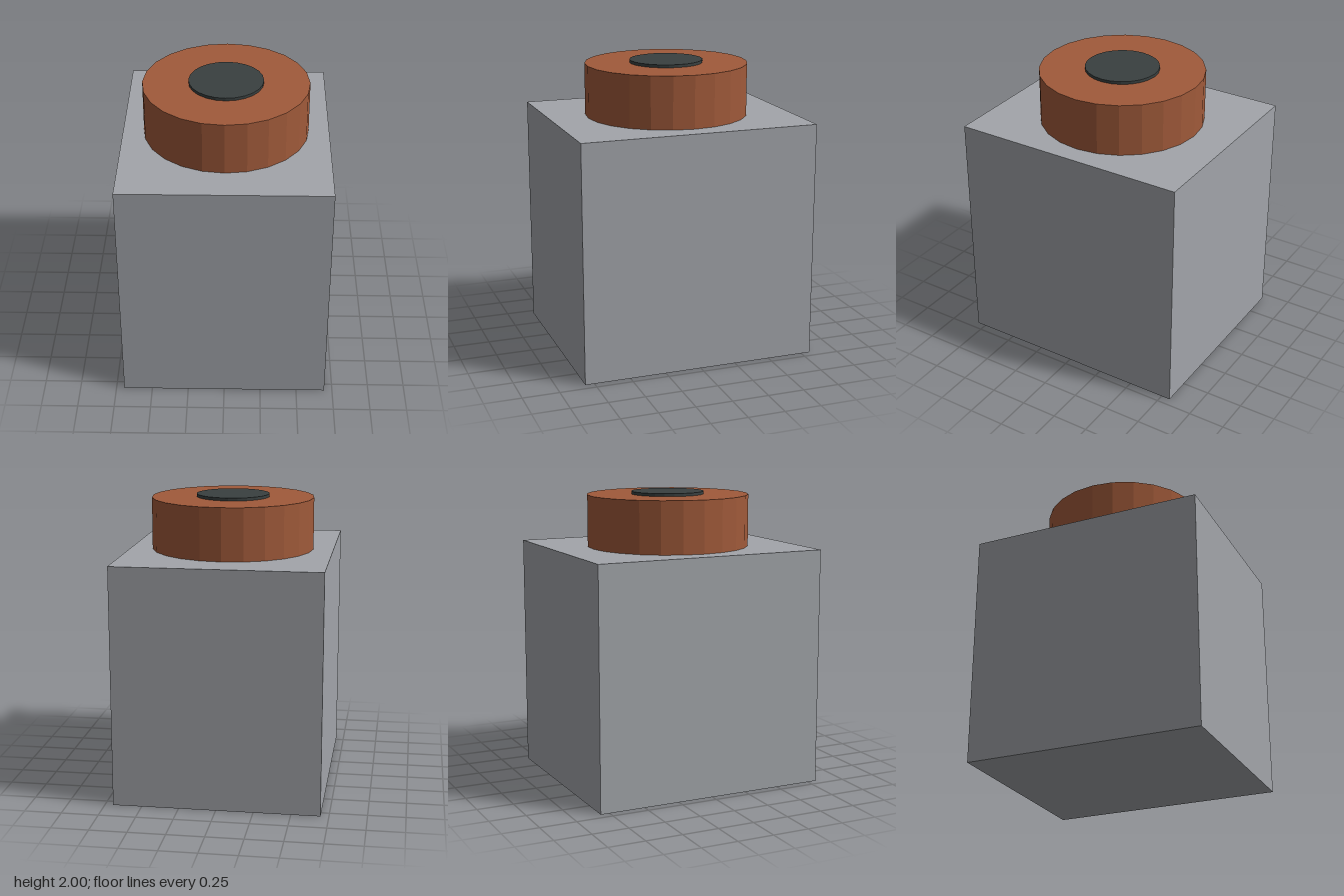
import * as THREE from 'three';

const flat = (name, color) => {
  const m = new THREE.MeshStandardMaterial({ color, flatShading: true });
  m.name = name;
  return m;
};

export function createModel() {
  const model = new THREE.Group();
  const grey = flat('grey', 0xa2a5aa);
  const copper = flat('copper', 0xa05a3a);
  const charcoal = flat('charcoal', 0x394040);

  const add = (name, geometry, material, bottom, height) => {
    const mesh = new THREE.Mesh(geometry, material);
    mesh.name = name;
    mesh.position.y = bottom + height / 2;
    model.add(mesh);
  };
  const disc = (radius, height) => new THREE.CylinderGeometry(radius, radius, height, 24);

  // Block body
  add('body', new THREE.BoxGeometry(1.39, 1.625, 1.625), grey, 0, 1.625);
  // Wide round collar on top
  add('collar', disc(0.557, 0.355), copper, 1.625, 0.355);
  // Cap standing slightly proud of the collar
  add('cap', disc(0.25, 0.02), charcoal, 1.98, 0.02);

  return model;
}
